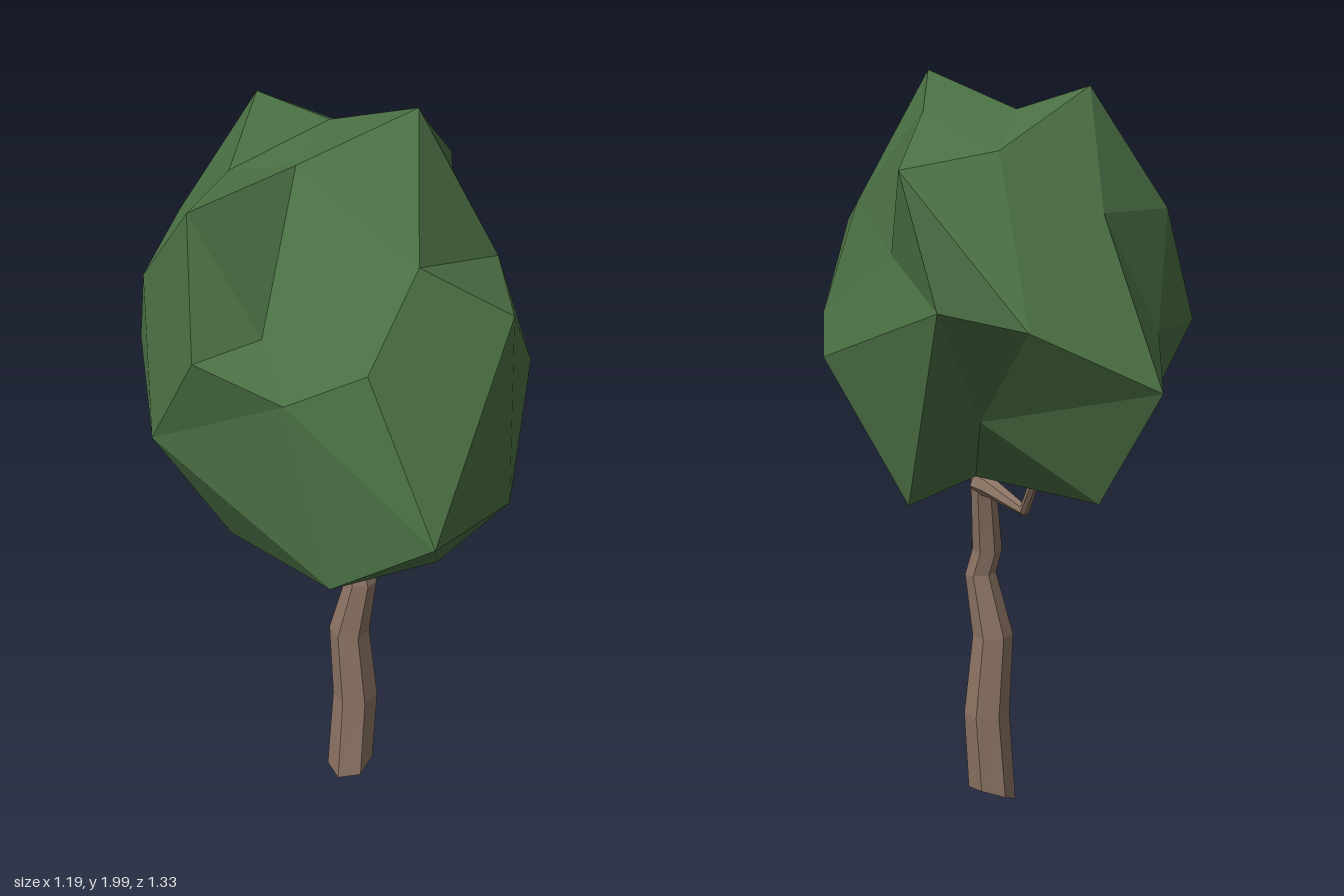
import * as THREE from 'three';
import { ConvexGeometry } from 'three/addons/geometries/ConvexGeometry.js';

const V = (x, y, z) => new THREE.Vector3(x, y, z);
const SIDES = 6;

// Low-poly limb: rings [x, y, z, radius] joined along a bent path, capped at both ends
function limb(rings, firstDir) {
  const pts = rings.map(([x, y, z]) => V(x, y, z));
  const pos = [], index = [], last = rings.length - 1;
  rings.forEach(([, , , r], i) => {
    const dir = i === 0 && firstDir ? firstDir.clone()
      : pts[Math.min(i + 1, last)].clone().sub(pts[Math.max(i - 1, 0)]);
    dir.normalize();
    const u = V(1, 0, 0).addScaledVector(dir, -dir.x).normalize();
    const w = dir.clone().cross(u);
    for (let j = 0; j < SIDES; j++) {
      const a = 0.25 + (j / SIDES) * Math.PI * 2;
      const p = pts[i].clone().addScaledVector(u, r * Math.cos(a)).addScaledVector(w, r * Math.sin(a));
      pos.push(p.x, p.y, p.z);
    }
  });
  for (let i = 0; i < last; i++) {
    for (let j = 0; j < SIDES; j++) {
      const a = i * SIDES + j, b = i * SIDES + (j + 1) % SIDES;
      index.push(a, b, b + SIDES, a, b + SIDES, a + SIDES);
    }
  }
  const top = last * SIDES;
  for (let j = 1; j < SIDES - 1; j++) {
    index.push(0, j + 1, j, top, top + j, top + j + 1);
  }
  return flatGeometry(pos, index);
}

function flatGeometry(pos, index) {
  const geo = new THREE.BufferGeometry();
  geo.setAttribute('position', new THREE.Float32BufferAttribute(pos, 3));
  geo.setIndex(index);
  const flat = geo.toNonIndexed();
  flat.computeVertexNormals();
  return flat;
}

// Faceted blob: joins the knobs as seen from the centre, keeping each at its own distance.
// Each crease [a, b] is an edge between two knobs that is turned to run the other way.
function facetedBlob(knobs, centre, creases) {
  const dirs = knobs.map(([x, y, z]) => V(x, y, z).sub(centre).normalize());
  const hull = new ConvexGeometry(dirs).attributes.position;
  const tris = [], p = V(0, 0, 0);
  for (let i = 0; i < hull.count; i++) {
    p.fromBufferAttribute(hull, i);
    let best = 0;
    dirs.forEach((d, k) => { if (d.dot(p) > dirs[best].dot(p)) best = k; });
    if (i % 3 === 0) tris.push([]);
    tris[tris.length - 1].push(best);
  }
  const runs = (t, a, b) => t.includes(a) && t[(t.indexOf(a) + 1) % 3] === b;
  for (const [a, b] of creases) {
    const one = tris.findIndex((t) => runs(t, a, b)), two = tris.findIndex((t) => runs(t, b, a));
    if (one < 0 || two < 0) continue;
    const c = tris[one].find((k) => k !== a && k !== b);
    const d = tris[two].find((k) => k !== a && k !== b);
    tris[one] = [a, d, c];
    tris[two] = [d, b, c];
  }
  return flatGeometry(knobs.flat(), tris.flat());
}

export function createModel() {
  const tree = new THREE.Group();
  tree.name = 'tree';
  const bark = new THREE.MeshStandardMaterial({ color: 0x8c7464, flatShading: true });
  const leaf = new THREE.MeshStandardMaterial({ color: 0x4a6f43, flatShading: true });
  const add = (name, geo, mat) => {
    const mesh = new THREE.Mesh(geo, mat);
    mesh.name = name;
    tree.add(mesh);
  };

  // Crooked trunk with a slanted foot
  add('trunk', limb([
    [-0.073, 0.035, 0.038, 0.067], [-0.057, 0.27, 0.043, 0.062], [-0.065, 0.49, 0.028, 0.055],
    [-0.05, 0.66, 0.06, 0.042], [-0.053, 0.73, 0.038, 0.04], [-0.018, 0.9, 0.018, 0.034],
    [-0.02, 1.0, 0.025, 0.03],
  ], V(-0.4, 1, 0)), bark);

  // Tapering branches at the fork
  add('backBranch', limb([
    [-0.01, 0.92, 0.02, 0.034], [0.01, 0.915, -0.03, 0.027],
    [0.055, 0.882, -0.19, 0.015], [0.08, 0.98, -0.25, 0.012],
  ]), bark);
  add('sideBranch', limb([
    [-0.015, 0.89, 0.02, 0.026], [-0.04, 0.95, 0.035, 0.02], [-0.06, 1.02, 0.04, 0.014],
  ]), bark);

  // Knobs of the leafy crown, from top to bottom
  const summit = [
    [-0.03, 2, 0.23], [0.175, 1.88, 0.045], [-0.1, 1.94, -0.265], [0, 1.885, -0.11],
    [-0.19, 1.84, -0.01], [-0.275, 1.81, -0.155], [-0.515, 1.81, 0.005], [0.23, 1.775, -0.26],
  ];
  const shoulder = [
    [0.375, 1.73, -0.07], [-0.21, 1.73, 0.43], [0.1, 1.655, 0.37], [-0.26, 1.64, -0.39],
    [0.06, 1.63, -0.44], [-0.035, 1.605, 0.555], [-0.485, 1.58, -0.23], [-0.39, 1.54, 0.465],
    [-0.445, 1.54, 0.17], [0.28, 1.525, 0.055], [-0.597, 1.505, 0.11],
  ];
  const middle = [
    [-0.507, 1.45, 0.32], [0.593, 1.42, -0.41], [0.2, 1.365, 0.4], [0.35, 1.365, -0.46],
    [-0.42, 1.35, -0.36], [-0.13, 1.34, -0.465], [0.345, 1.265, 0.24], [-0.588, 1.235, -0.085],
    [0.12, 1.225, -0.667], [-0.37, 1.185, 0.665],
  ];
  const underside = [
    [-0.035, 1.13, 0.57], [0.3, 1.14, -0.265], [0.155, 1.06, 0.24], [-0.468, 1.005, 0.425],
    [0.14, 0.97, -0.1], [0.447, 0.947, -0.17], [0.11, 0.942, -0.475], [-0.415, 0.925, -0.02],
    [-0.11, 0.917, 0.41],
  ];
  // Creases: dent below the left peak, gully behind the summit, hollow beside the far corner
  const creases = [[6, 9], [2, 4], [7, 20]];
  add('foliage', facetedBlob([...summit, ...shoulder, ...middle, ...underside], V(0, 1.4, 0), creases), leaf);

  return tree;
}
